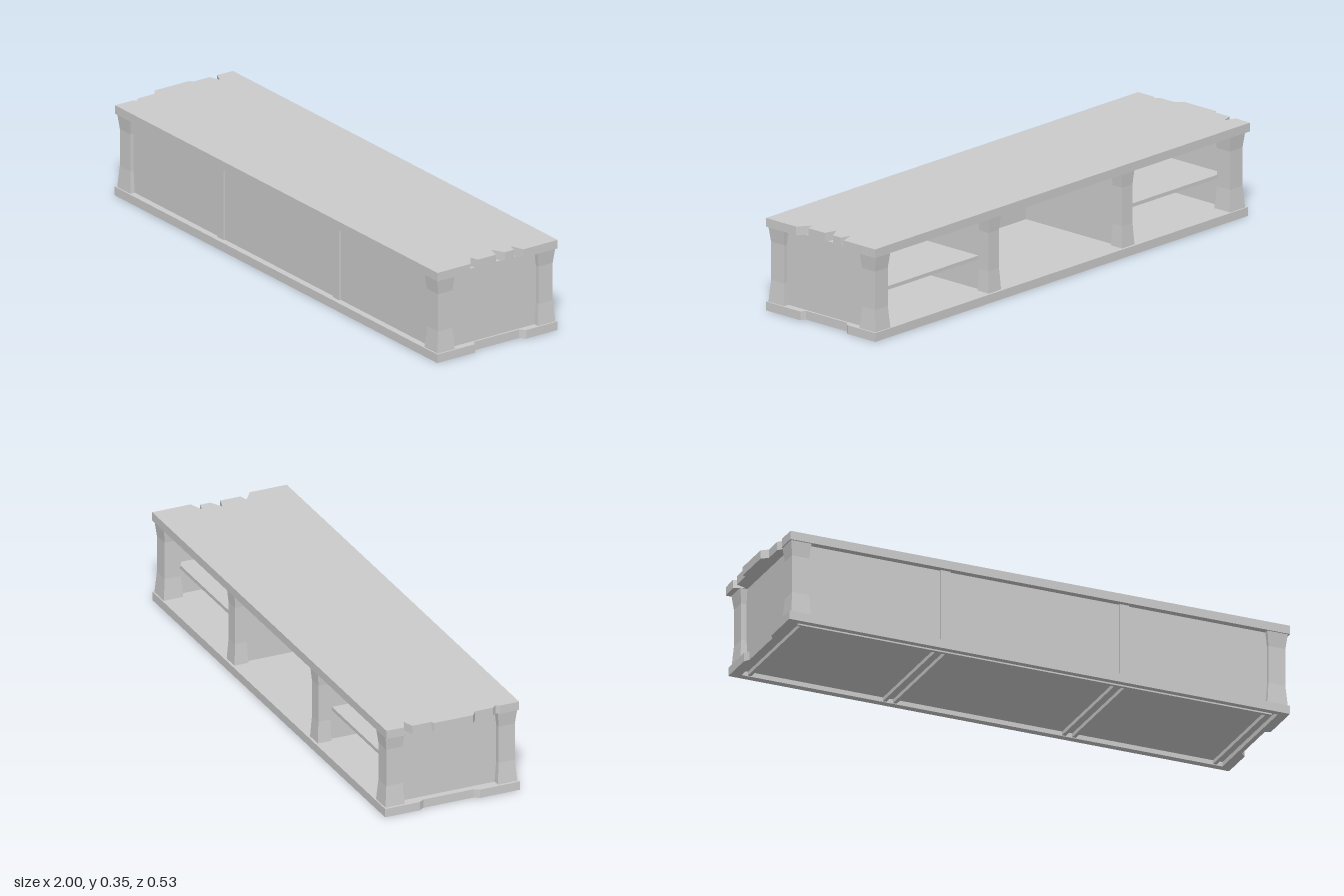
import * as THREE from 'three';

const material = new THREE.MeshStandardMaterial({ color: 0xcccccc, flatShading: true, side: THREE.DoubleSide });

export function createModel() {
  const group = new THREE.Group();

  const add = (name, geometry) => {
    const mesh = new THREE.Mesh(geometry, material);
    mesh.name = name;
    group.add(mesh);
    return mesh;
  };

  // Box given by its minimum and maximum on each axis
  const box = (name, x0, x1, y0, y1, z0, z1) =>
    add(name, new THREE.BoxGeometry(x1 - x0, y1 - y0, z1 - z0))
      .position.set((x0 + x1) / 2, (y0 + y1) / 2, (z0 + z1) / 2);

  // Horizontal board from an outline of [x, z] points
  const toPoints = (list) => list.map(([x, z]) => new THREE.Vector2(x, -z));
  const slab = (name, outline, y0, y1, hole) => {
    const shape = new THREE.Shape(toPoints(outline));
    if (hole) shape.holes.push(new THREE.Path(toPoints(hole)));
    const g = new THREE.ExtrudeGeometry(shape, { depth: y1 - y0, bevelEnabled: false });
    g.rotateX(-Math.PI / 2);
    g.translate(0, y0, 0);
    add(name, g);
  };

  // Square post, thinner through the middle and flared at both ends
  const post = (name, x, z, w, d) => {
    const rows = [0.033, 0.115, 0.26, 0.317];
    const g = new THREE.BoxGeometry(w, 3, d, 1, 3, 1);
    const p = g.attributes.position;
    for (let i = 0; i < p.count; i++) {
      const row = Math.round(p.getY(i) + 1.5);
      const s = row === 1 || row === 2 ? 0.83 : 1;
      p.setXYZ(i, p.getX(i) * s, rows[row], p.getZ(i) * s);
    }
    add(name, g).position.set(x, 0, z);
  };

  // Worn top board with chipped ends
  slab('topBoard', [
    [-0.985, -0.267], [0.999, -0.267], [0.999, -0.115], [0.945, -0.095], [0.982, -0.085],
    [0.982, -0.045], [0.935, -0.018], [0.982, -0.005], [0.982, 0.075], [0.95, 0.085],
    [0.999, 0.12], [0.999, 0.267], [-0.97, 0.267], [-0.97, 0.19], [-0.96, 0.178],
    [-0.975, 0.16], [-0.975, 0.09], [-1, 0.07], [-1, -0.085], [-0.987, -0.09],
    [-0.987, -0.165], [-0.945, -0.18], [-0.987, -0.198],
  ], 0.317, 0.35);

  // Base frame with worn ends, and the floor set into it
  slab('baseFrame', [
    [-0.975, -0.267], [0.998, -0.267], [0.998, -0.13], [0.978, -0.11], [0.978, 0.09],
    [0.998, 0.1], [0.998, 0.267], [-0.975, 0.267], [-0.975, 0.11], [-0.962, 0.09],
    [-0.962, -0.11], [-0.975, -0.13],
  ], 0, 0.033, [[-0.935, -0.24], [-0.935, 0.245], [0.96, 0.245], [0.96, -0.24]]);
  box('floor', -0.935, 0.96, 0.018, 0.033, -0.24, 0.245);
  box('frontRail', -0.92, 0.945, 0.003, 0.018, 0.215, 0.228);

  // Front panel
  box('frontPanel', -0.94, 0.965, 0.033, 0.317, 0.225, 0.242);

  for (const side of [-1, 1]) {
    const cx = side * 0.9385 + 0.0135;
    const dx = side * 0.353 + 0.002;
    // Corner posts
    for (const z of [-0.223, 0.223]) post('cornerPost', cx, z, 0.08, 0.077);
    // End panel
    box('endPanel', cx - 0.012, cx + 0.012 + side * 0.006, 0.033, 0.317, -0.22, 0.225);
    // Divider between bays, showing as a strip on the front
    box('divider', dx - 0.019, dx + 0.019, 0.033, 0.317, -0.22, 0.249);
    post('backPost', dx, -0.23, 0.066, 0.055);
    // Rails under the floor
    for (const rx of [dx - 0.02, dx + 0.02, cx - side * 0.022])
      box('floorRail', rx - 0.007, rx + 0.007, 0.003, 0.018, -0.24, 0.22);
    // Shelf in each outer bay
    box('shelf', Math.min(dx, cx), Math.max(dx, cx), 0.146, 0.16, -0.195, 0.225);
  }

  return group;
}
